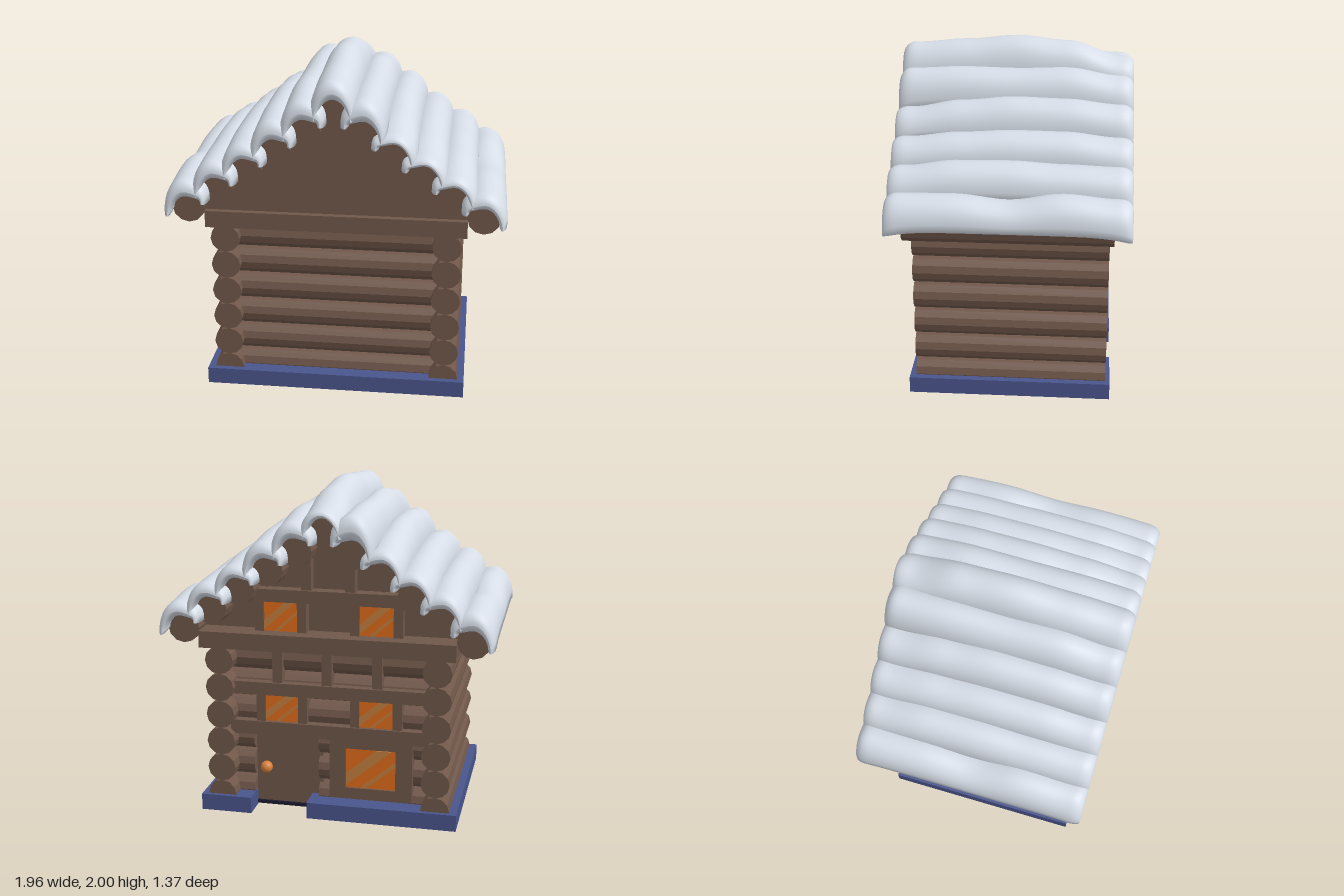
import * as THREE from 'three';

const mat = (name, color, extra = {}) => {
  const m = new THREE.MeshStandardMaterial({ color, ...extra });
  m.name = name;
  return m;
};

export function createModel() {
  const wood = mat('wood', 0x70574a);
  const logWood = mat('logWood', 0x70574a, { flatShading: true });
  const stone = mat('blueBase', 0x49558c);
  const snow = mat('snow', 0xdde4ee);
  const glass = mat('orangeGlass', 0xe06c1a);
  const glint = mat('glassGlint', 0xc4803f);
  const brass = mat('knob', 0xd8813a);
  const grout = mat('floorGrout', 0x1a1a30);
  const red = mat('redTile', 0xd8322e);
  const tan = mat('tanTile', 0xc88442);

  const model = new THREE.Group();
  const add = (name, geo, material, parent = model) => {
    const m = new THREE.Mesh(geo, material);
    m.name = name;
    parent.add(m);
    return m;
  };
  // Box given by its limits
  const box = (name, x0, x1, y0, y1, z0, z1, material = wood, parent = model) => {
    const m = add(name, new THREE.BoxGeometry(x1 - x0, y1 - y0, z1 - z0), material, parent);
    m.position.set((x0 + x1) / 2, (y0 + y1) / 2, (z0 + z1) / 2);
    return m;
  };
  const shapeOf = pts => new THREE.Shape(pts.map(p => new THREE.Vector2(...p)));
  const plate = (pts, depth) => new THREE.ExtrudeGeometry(shapeOf(pts), { depth, bevelEnabled: false });
  const log = (name, r, length, axis, x, y, z) => {
    const geo = new THREE.CylinderGeometry(r, r, length, 12);
    if (axis === 'x') geo.rotateZ(Math.PI / 2); else geo.rotateX(Math.PI / 2);
    add(name, geo, logWood).position.set(x, y, z);
  };

  // Base ring, open at the doorway
  const ring = [[0.775, -0.59], [0.464, -0.59], [0.464, -0.3], [0.53, -0.3], [0.53, 0.28], [-0.53, 0.28],
    [-0.53, -0.3], [0.118, -0.3], [0.118, -0.59], [-0.78, -0.59], [-0.78, 0.6], [0.775, 0.6]];
  add('base', plate(ring.map(([x, z]) => [x, -z]), 0.1).rotateX(-Math.PI / 2), stone);

  // Floor with rounded tiles on its underside
  box('floor', -0.56, 0.56, 0.01, 0.03, -0.45, 0.3, grout);
  const tile = plate([[-0.093, -0.05], [-0.065, -0.08], [0.065, -0.08], [0.093, -0.05],
    [0.093, 0.05], [0.065, 0.08], [-0.065, 0.08], [-0.093, 0.05]], 0.006).rotateX(-Math.PI / 2);
  for (let i = 0; i < 5; i++) for (let j = 0; j < 4; j++) {
    add('floorTile', tile, (i + j + (i === 3)) % 2 ? red : tan).position.set((i - 2) * 0.215, 0.005, -0.355 + j * 0.185);
  }

  // Log walls
  for (let i = 0; i < 6; i++) {
    const y = 0.105 + i * 0.169;
    for (const s of [-1, 1]) log('sideLog', 0.086, 1.13, 'z', s * 0.65, y, 0);
    log('frontLog', 0.086, 1.26, 'x', 0, y, 0.43);
    if (i > 2) log('backLog', 0.086, 1.26, 'x', 0, y, -0.39);
    else { // lower back logs stop at the door
      log('backLog', 0.086, 0.18, 'x', 0.56, y, -0.39);
      log('backLog', 0.086, 0.7, 'x', -0.28, y, -0.39);
    }
  }

  // Upper floor slab and gables
  box('upperFloor', -0.757, 0.762, 1.03, 1.13, -0.592, 0.598);
  const gable = plate([[-0.757, 1.13], [0.757, 1.13], [0.78, 1.2], [0.67, 1.27], [0, 1.75], [-0.67, 1.27], [-0.78, 1.2]], 0.04);
  add('frontGable', gable, wood).position.z = 0.52;
  add('backGable', gable, wood).position.z = -0.44;

  // Back facade: beams, posts, door
  box('lowerBeam', -0.6, 0.6, 0.485, 0.57, -0.52, -0.4);
  box('middleBeam', -0.6, 0.6, 0.738, 0.815, -0.52, -0.4);
  box('gableBeam', -0.53, 0.53, 1.31, 1.385, -0.52, -0.4);
  for (const x of [0.31, 0.01, -0.29]) box('shortPost', x - 0.03, x + 0.03, 0.815, 1.03, -0.505, -0.4);
  for (const x of [-0.13, 0.13]) box('gablePost', x - 0.03, x + 0.03, 1.385, 1.62, -0.505, -0.42);
  box('door', 0.05, 0.464, 0.03, 0.485, -0.435, -0.4);
  add('doorKnob', new THREE.SphereGeometry(0.037, 20, 14), brass).position.set(0.4, 0.255, -0.455);

  // Framed window with diagonal glints
  const windowAt = (x0, x1, y0, y1, fx, fy) => {
    const g = new THREE.Group();
    g.name = 'window';
    model.add(g);
    box('glass', x0, x1, y0, y1, -0.495, -0.45, glass, g);
    box('frameSide', x0 - fx, x0, y0 - fy, y1 + fy, -0.508, -0.4, wood, g);
    box('frameSide', x1, x1 + fx, y0 - fy, y1 + fy, -0.508, -0.4, wood, g);
    if (fy) {
      box('frameRail', x0, x1, y0 - fy, y0, -0.508, -0.4, wood, g);
      box('frameRail', x0, x1, y1, y1 + fy, -0.508, -0.4, wood, g);
    }
    // A wide and a narrow glint, as fractions across and up the pane
    const at = ([u, v]) => [x1 + (x0 - x1) * u, y0 + (y1 - y0) * v];
    for (const streak of [[[0, 0.06], [0, 0.36], [0.62, 0.98], [0.92, 0.98]], [[0.3, 0.02], [0.42, 0.02], [1, 0.6], [1, 0.72]]]) {
      add('glint', plate(streak.map(at), 0.008), glint, g).position.z = -0.503;
    }
  };
  windowAt(-0.405, -0.105, 0.185, 0.435, 0.1, 0.07);
  for (const [y0, y1] of [[0.57, 0.738], [1.13, 1.31]]) {
    windowAt(0.185, 0.385, y0, y1, 0.055, 0);
    windowAt(-0.385, -0.185, y0, y1, 0.055, 0);
  }

  // Snow roll: thick crescent cross-sections with rounded, drooping ends and uneven height
  const snowRoll = (cx, cy, tops) => {
    const n = 18, steps = 40, half = 0.684, lip = 0.01, pos = [], index = [], M = 2 * (n + 1);
    const side = Math.sign(cx);
    const topAt = z => {
      const t = THREE.MathUtils.clamp((0.6 - z) / 0.3, 0, 3.999), i = Math.floor(t);
      return THREE.MathUtils.lerp(tops[i], tops[i + 1], THREE.MathUtils.smoothstep(t - i, 0, 1));
    };
    for (let k = 0; k <= steps; k++) {
      const z = half * Math.sin((k / steps - 0.5) * Math.PI);
      const e = Math.max(0, (Math.abs(z) - half + 0.07) / 0.07);
      const thick = Math.sqrt(Math.max(0, 1 - e * e)), H = topAt(z) - cy - lip;
      const droop = 0.04 * (z / half) ** 6;
      for (let j = 0; j < M; j++) {
        const outer = j <= n, a = ((outer ? j : M - 1 - j) / n) * Math.PI;
        const c = Math.cos(a), s = Math.max(0, Math.sin(a));
        const ox = 0.129 * c, oy = lip + H * s ** 0.78, ix = 0.084 * c, iy = lip + 0.07 * s;
        const f = outer ? 0.4 + 0.6 * thick : 0.4 - 0.4 * thick;
        const shift = c * side < 0 ? 0.04 * c ** 4 : -droop * c * c; // uphill lip sits higher
        pos.push(cx + ix + (ox - ix) * f, cy + iy + (oy - iy) * f + shift, z);
      }
    }
    for (let k = 0; k < steps; k++) for (let j = 0; j < M; j++) {
      const a = k * M + j, b = k * M + (j + 1) % M;
      index.push(a, b, a + M, b, b + M, a + M);
    }
    const geo = new THREE.BufferGeometry();
    geo.setAttribute('position', new THREE.Float32BufferAttribute(pos, 3));
    geo.setIndex(index);
    geo.computeVertexNormals();
    add('snowRoll', geo, snow);
  };

  // Roof logs and their snow, from ridge to eaves; tops run front to back
  const rows = [
    [1.945, 1.97, 1.997, 1.97, 1.885],
    [1.835, 1.85, 1.845, 1.855, 1.81],
    [1.65, 1.70, 1.727, 1.72, 1.69],
    [1.53, 1.565, 1.583, 1.58, 1.55],
    [1.42, 1.46, 1.465, 1.45, 1.44],
    [1.325, 1.33, 1.30, 1.345, 1.32],
  ];
  rows.forEach((tops, i) => {
    const x = i * 0.1705, y = 1.75 - i * 0.12;
    for (const s of i ? [1, -1] : [1]) {
      log('roofLog', 0.095, 1.17, 'z', s * x, y, 0);
      snowRoll(s * x, y, s > 0 ? tops : [...tops].reverse().map(t => t + 0.02));
    }
  });
  return model;
}
